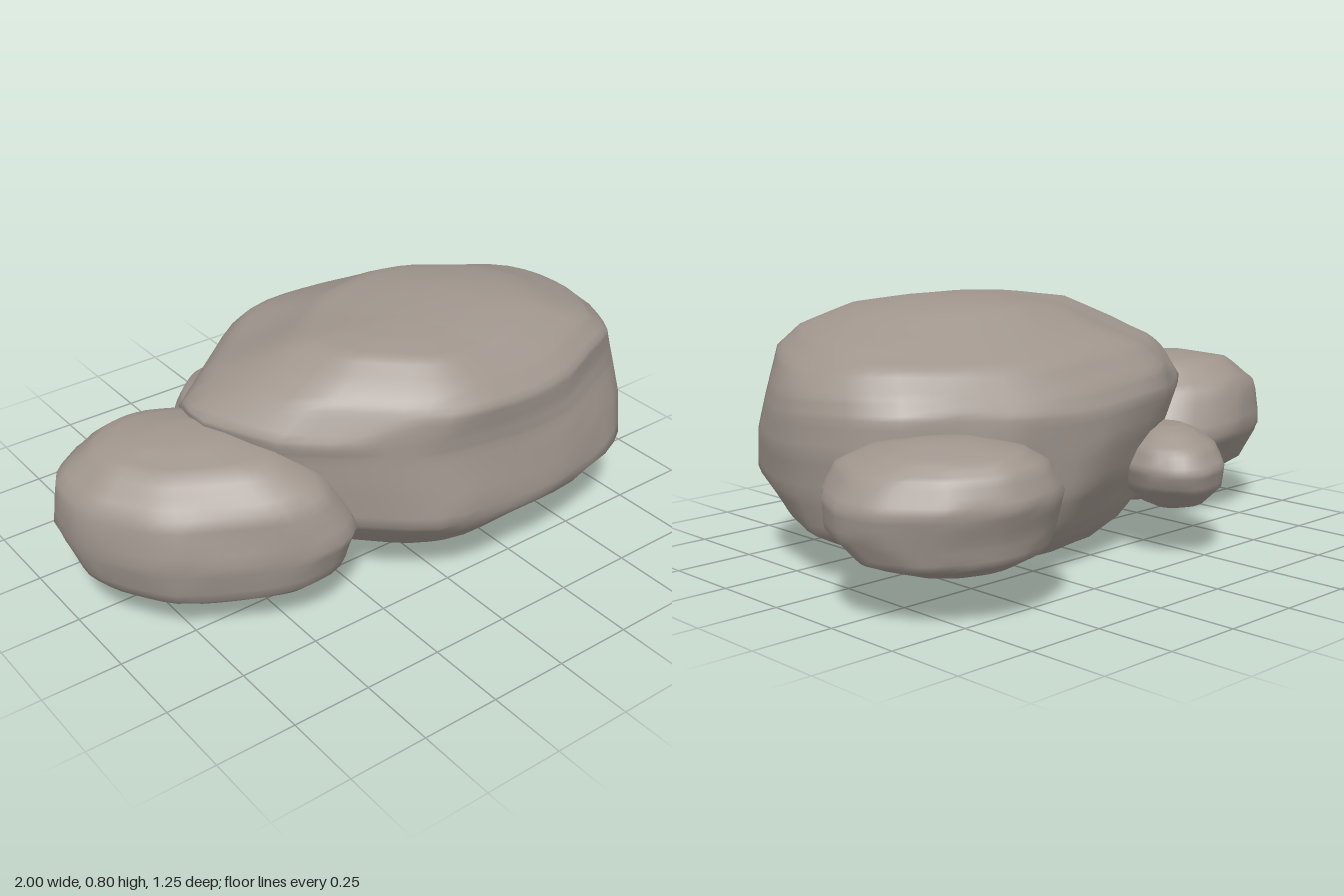
import * as THREE from 'three';

const SEGMENTS = 48; // points around each cross-section
const STEPS = 4;     // rows between two given levels

function seeded(seed) {
  let s = seed;
  return () => (s = (s * 16807) % 2147483647) / 2147483647;
}

// plan: outline seen from above [x, z], running left, back, right, front
// levels: [y, xMin, xMax, zMin, zMax] from bottom to top
function makeBoulder(name, material, plan, levels, seed, bump) {
  const random = seeded(seed);
  const curve = new THREE.CatmullRomCurve3(
    plan.map(([x, z]) => new THREE.Vector3(x, 0, z)), true, 'catmullrom', 0.25);
  const outline = curve.getSpacedPoints(SEGMENTS).slice(0, SEGMENTS);
  const box = new THREE.Box3().setFromPoints(outline);
  const size = box.getSize(new THREE.Vector3());
  const unit = outline.map(p => [(p.x - box.min.x) / size.x, (p.z - box.min.z) / size.z]);

  // cross-sections stacked from bottom to top
  const points = [];
  let rows = 0;
  const addRow = ([y, x0, x1, z0, z1]) => {
    for (const [u, v] of unit) points.push(new THREE.Vector3(x0 + u * (x1 - x0), y, z0 + v * (z1 - z0)));
    rows++;
  };
  for (let l = 0; l < levels.length - 1; l++) {
    for (let s = 0; s < STEPS; s++) {
      addRow(levels[l].map((a, k) => THREE.MathUtils.lerp(a, levels[l + 1][k], s / STEPS)));
    }
  }
  const top = levels[levels.length - 1];
  addRow(top);
  for (const l of [levels[0], top]) {
    points.push(new THREE.Vector3((l[1] + l[2]) / 2, l[0], (l[3] + l[4]) / 2));
  }
  const target = new THREE.Box3().setFromPoints(points);
  const center = target.getCenter(new THREE.Vector3());

  // gentle dents and swellings
  const phase = random() * 6;
  for (const p of points) {
    const q = p.clone();
    p.x += bump * Math.sin(11 * q.y + 7 * q.z + phase);
    p.y += bump * 1.4 * Math.sin(8 * q.x - 6 * q.z + phase * 2);
    p.z += bump * Math.sin(9 * q.x + 10 * q.y + phase * 3);
  }
  // worn flat facets
  for (let i = 0; i < 22; i++) {
    const h = random() * 2 - 1, a = random() * Math.PI * 2, r = Math.sqrt(1 - h * h);
    const n = new THREE.Vector3(r * Math.cos(a), h, r * Math.sin(a));
    const dist = p => n.dot(p.clone().sub(center));
    const limit = Math.max(...points.map(dist)) * 0.975;
    for (const p of points) {
      const over = dist(p) - limit;
      if (over > 0) p.addScaledVector(n, -over * 0.85);
    }
  }
  // restore the overall size
  const now = new THREE.Box3().setFromPoints(points);
  const scale = target.getSize(new THREE.Vector3()).divide(now.getSize(new THREE.Vector3()));
  for (const p of points) p.sub(now.min).multiply(scale).add(target.min);

  const index = [];
  const bottomCenter = rows * SEGMENTS, topCenter = bottomCenter + 1;
  for (let i = 0; i < SEGMENTS; i++) {
    const k = (i + 1) % SEGMENTS;
    for (let j = 0; j < rows - 1; j++) {
      const a = j * SEGMENTS + i, b = j * SEGMENTS + k;
      const c = a + SEGMENTS, d = b + SEGMENTS;
      index.push(a, c, b, b, c, d);
    }
    const last = (rows - 1) * SEGMENTS;
    index.push(bottomCenter, i, k, topCenter, last + k, last + i);
  }
  const geometry = new THREE.BufferGeometry().setFromPoints(points);
  geometry.setIndex(index);
  geometry.computeVertexNormals();
  const mesh = new THREE.Mesh(geometry, material);
  mesh.name = name;
  return mesh;
}

export function createModel() {
  const group = new THREE.Group();
  group.name = 'boulderCluster';
  const stone = new THREE.MeshStandardMaterial({ color: 0x9f958d });
  stone.name = 'warm grey stone';

  // widest high up on its right, where it overhangs the side boulder
  group.add(makeBoulder('mainBoulder', stone,
    [[-0.59, 0], [-0.5, -0.17], [-0.2, -0.38], [0, -0.415], [0.2, -0.43], [0.42, -0.37], [0.7, -0.19],
      [0.79, -0.08], [0.84, 0.12], [0.8, 0.3], [0.69, 0.5], [0.42, 0.61], [0.26, 0.62], [-0.05, 0.61],
      [-0.2, 0.54], [-0.47, 0.3]],
    [[0, 0.05, 0.32, -0.14, 0.06], [0.04, -0.19, 0.46, -0.25, 0.26], [0.09, -0.33, 0.64, -0.3, 0.4],
      [0.15, -0.41, 0.77, -0.34, 0.49], [0.27, -0.5, 0.82, -0.39, 0.62], [0.4, -0.555, 0.84, -0.42, 0.595],
      [0.5, -0.58, 0.83, -0.43, 0.575], [0.56, -0.59, 0.81, -0.405, 0.575], [0.64, -0.49, 0.76, -0.34, 0.585],
      [0.7, -0.38, 0.68, -0.21, 0.53], [0.76, -0.26, 0.49, -0.09, 0.45], [0.785, -0.13, 0.28, 0.06, 0.36],
      [0.797, 0, 0.12, 0.18, 0.28]],
    71, 0.008));

  group.add(makeBoulder('sideBoulder', stone,
    [[-1, -0.02], [-0.99, -0.12], [-0.93, -0.2], [-0.83, -0.255], [-0.72, -0.28], [-0.6, -0.27], [-0.45, -0.21],
      [-0.33, -0.08], [-0.26, 0.1], [-0.25, 0.3], [-0.3, 0.43], [-0.38, 0.49], [-0.5, 0.485], [-0.62, 0.43],
      [-0.82, 0.31], [-0.89, 0.23], [-0.99, 0.06]],
    [[0.045, -0.56, -0.42, 0.06, 0.2], [0.075, -0.75, -0.33, -0.1, 0.35], [0.17, -0.96, -0.26, -0.2, 0.45],
      [0.3, -1, -0.25, -0.28, 0.49], [0.45, -0.98, -0.34, -0.24, 0.44], [0.53, -0.87, -0.45, -0.14, 0.3],
      [0.552, -0.75, -0.55, 0, 0.15]],
    305, 0.007));

  group.add(makeBoulder('backCornerBoulder', stone,
    [[0.39, -0.4], [0.41, -0.53], [0.52, -0.62], [0.6, -0.635], [0.7, -0.62], [0.85, -0.54], [0.97, -0.4],
      [1, -0.28], [0.95, -0.14], [0.88, -0.09], [0.8, -0.08], [0.65, -0.13], [0.48, -0.25]],
    [[0.125, 0.63, 0.76, -0.47, -0.34], [0.14, 0.55, 0.84, -0.53, -0.29], [0.18, 0.44, 0.95, -0.59, -0.17],
      [0.25, 0.4, 0.99, -0.605, -0.09], [0.34, 0.39, 1, -0.635, -0.08], [0.42, 0.43, 0.95, -0.6, -0.1],
      [0.46, 0.5, 0.87, -0.55, -0.17], [0.485, 0.62, 0.76, -0.42, -0.3]],
    902, 0.006));

  group.add(makeBoulder('smallBackBoulder', stone,
    [[-0.43, -0.25], [-0.42, -0.36], [-0.35, -0.48], [-0.25, -0.56], [-0.15, -0.58], [-0.08, -0.54],
      [-0.04, -0.44], [-0.07, -0.3], [-0.18, -0.18], [-0.3, -0.13], [-0.4, -0.15]],
    [[0.135, -0.29, -0.18, -0.42, -0.3], [0.155, -0.34, -0.13, -0.49, -0.24], [0.215, -0.42, -0.06, -0.56, -0.15],
      [0.285, -0.43, -0.04, -0.58, -0.13], [0.345, -0.41, -0.07, -0.54, -0.16], [0.39, -0.34, -0.13, -0.47, -0.23],
      [0.405, -0.29, -0.18, -0.42, -0.3]],
    1177, 0.005));

  return group;
}
